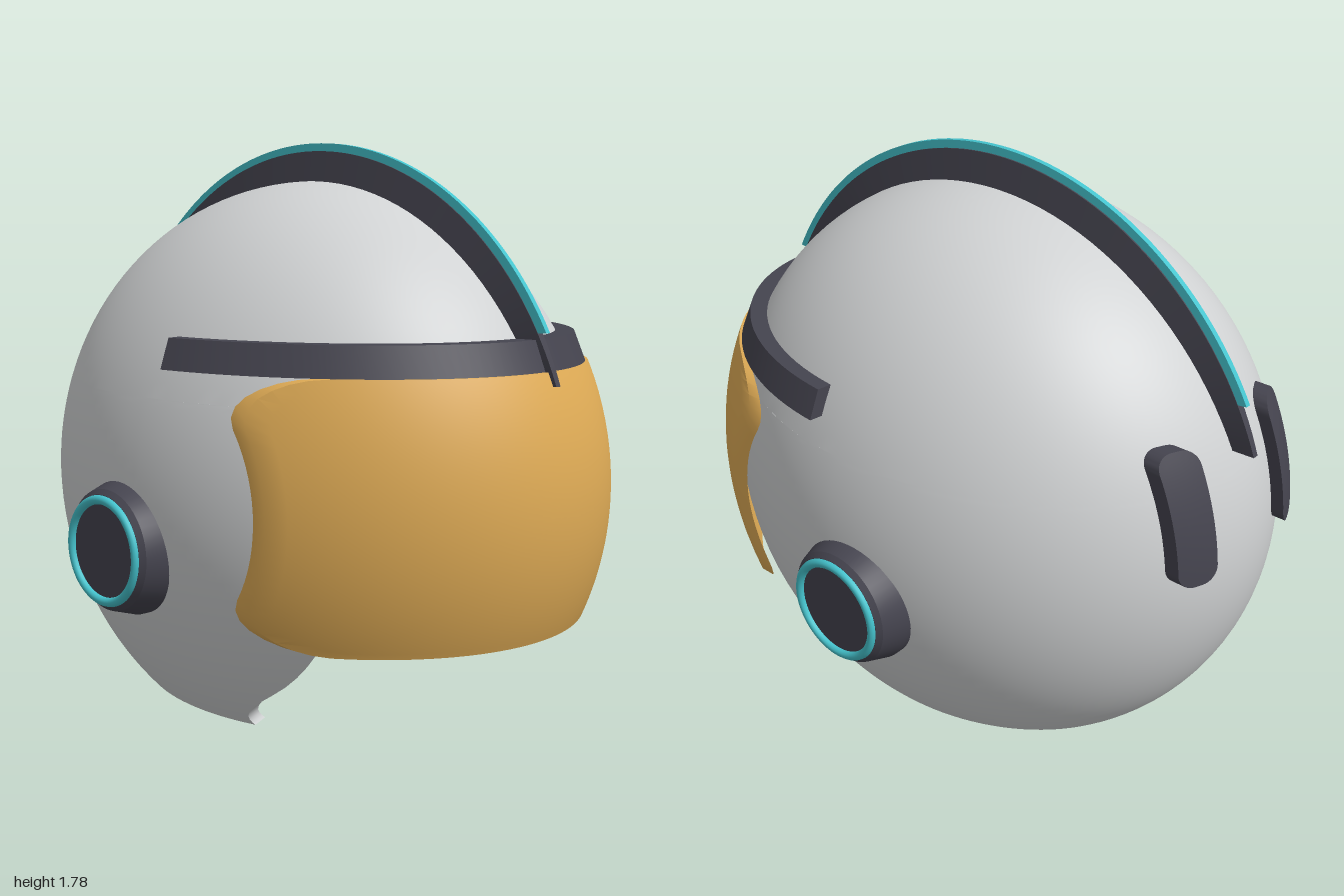
import * as THREE from 'three';
import { toCreasedNormals } from 'three/addons/utils/BufferGeometryUtils.js';

const CY = 0.71, CZ = -0.025; // centre of the head ellipsoid
const V = (x, y, z) => new THREE.Vector3(x, y, z);
const mat = (name, color) => Object.assign(new THREE.MeshStandardMaterial({ color }), { name });

// Skin a list of closed point loops
function skin(rows, crease = 0.6) {
  const pos = [], index = [], n = rows[0].length;
  rows.forEach(r => r.forEach(p => pos.push(p.x, p.y, p.z)));
  for (let i = 0; i < rows.length - 1; i++) {
    for (let j = 0; j < n; j++) {
      const a = i * n + j, b = i * n + (j + 1) % n;
      index.push(a, b, b + n, a, b + n, a + n);
    }
  }
  const g = new THREE.BufferGeometry();
  g.setAttribute('position', new THREE.Float32BufferAttribute(pos, 3));
  g.setIndex(index);
  return toCreasedNormals(g, crease);
}

// Skin with both ends capped
function sweep(rows) {
  const cap = r => {
    const c = V(0, 0, 0);
    r.forEach(p => c.addScaledVector(p, 1 / r.length));
    return r.map(() => c);
  };
  return skin([cap(rows[0]), rows[0], ...rows, rows.at(-1), cap(rows.at(-1))]);
}

// Rounded rectangle projected forward onto an ellipsoid, with thickness
function curvedPanel(x0, x1, y0, y1, r, outer, inner, rings) {
  const s = new THREE.Shape();
  s.absarc(x1 - r, y1 - r, r, 0, Math.PI / 2);
  s.absarc(x0 + r, y1 - r, r, Math.PI / 2, Math.PI);
  s.absarc(x0 + r, y0 + r, r, Math.PI, Math.PI * 1.5);
  s.absarc(x1 - r, y0 + r, r, Math.PI * 1.5, Math.PI * 2);
  s.closePath();
  const outline = s.getSpacedPoints(128).slice(0, -1);
  const mx = (x0 + x1) / 2, my = (y0 + y1) / 2;
  const ring = (k, e) => outline.map(p => {
    const x = mx + (p.x - mx) * k, y = my + (p.y - my) * k;
    const q = 1 - (x / e[0]) ** 2 - ((y - CY) / e[1]) ** 2;
    return V(x, y, e[2] * Math.sqrt(Math.max(0, q)));
  });
  const rows = [];
  for (let i = 0; i <= rings; i++) rows.push(ring(i / rings, inner));
  for (let i = rings; i >= 0; i--) rows.push(ring(i / rings, outer));
  return skin(rows);
}

// Hollow shell with a rounded face opening that runs out through the bottom
function shellGeometry() {
  const outer = [0.77, 0.95, 0.97], inner = [0.72, 0.90, 0.92];
  const top = 1.02, r = 0.2, half = 0.55, low = -0.05;
  const levels = [];
  for (let i = 0; i <= 32; i++) {
    const y = top * (1 - Math.cos(Math.PI * i / 32)) / 2;
    const d = Math.max(0, low + r - y, y - (top - r));
    levels.push([y, half - r + Math.sqrt(Math.max(0, r * r - d * d))]);
  }
  const p0 = Math.asin((top - CY) / outer[1]);
  for (let i = 0; i <= 24; i++) {
    levels.push([CY + outer[1] * Math.sin(p0 + (Math.PI / 2 - p0) * i / 24), 0]);
  }
  const N = 28;
  const arc = (y, open, e) => {
    const f = Math.sqrt(Math.max(0, 1 - ((y - CY) / outer[1]) ** 2));
    const a = open ? Math.asin(Math.min(1, open / (outer[0] * f))) : 0;
    const yy = y * (CY + e[1]) / (CY + outer[1]);
    const g = Math.sqrt(Math.max(0, 1 - ((yy - CY) / e[1]) ** 2));
    const angles = [];
    for (let i = 0; i < N; i++) angles.push(a + (Math.PI / 2 - a) * i / N);
    for (let i = 0; i <= 2 * N; i++) angles.push(Math.PI / 2 + Math.PI * i / (2 * N));
    for (let i = N - 1; i >= 0; i--) angles.push(2 * Math.PI - angles[i]);
    return angles.map(t => V(e[0] * g * Math.sin(t), yy, e[2] * g * Math.cos(t)));
  };
  const rows = levels.map(([y, o]) => [...arc(y, o, outer), ...arc(y, o, inner).reverse()]);
  // Bottom rim joins the two skins
  const o = arc(0, levels[0][1], outer), n = arc(0, levels[0][1], inner);
  rows.unshift([...n, ...n.slice().reverse()]);
  return skin(rows, 0.5);
}

// Fin over the crown, swept from front to back
function finGeometry(inR, outR, inStart, outStart, inWidth, outWidth) {
  const rows = [];
  for (let i = 0; i <= 72; i++) {
    const k = i / 36 - 1;
    const at = (x, [ry, rz], start) => {
      const u = Math.PI / 2 + k * (Math.PI / 2 - start);
      return V(x, CY + ry * Math.sin(u), rz * Math.cos(u));
    };
    const wi = inWidth(k), wo = outWidth(k);
    rows.push([at(-wo, outR, outStart), at(wo, outR, outStart), at(wi, inR, inStart), at(-wi, inR, inStart)]);
  }
  return sweep(rows);
}

// Brow strip wrapped around the forehead
function browGeometry() {
  const section = [[0.705, 0.895, 1.2], [0.74, 0.93, 1.11], [0.67, 0.85, 1.11], [0.645, 0.82, 1.2]];
  const rows = [];
  for (let i = 0; i <= 64; i++) {
    const t = 1.468 * (i / 32 - 1);
    rows.push(section.map(([rx, rz, y]) => V(rx * Math.sin(t), y, rz * Math.cos(t))));
  }
  return sweep(rows);
}

export function createModel() {
  const model = new THREE.Group();
  model.name = 'helmet';
  const grey = mat('shellGrey', 0xd0d2d3);
  const gold = mat('visorGold', 0xe0ac56);
  const dark = mat('trimCharcoal', 0x45444f);
  const cyan = mat('accentCyan', 0x45c4ce);
  const add = (name, geometry, material, parent = model) => {
    const m = new THREE.Mesh(geometry, material);
    m.name = name;
    if (parent === model) m.position.z = CZ;
    parent.add(m);
    return m;
  };

  add('shell', shellGeometry(), grey);
  add('visor', curvedPanel(-0.71, 0.71, 0.325, 1.11, 0.15,
    [0.815, 1.0, 1.025], [0.797, 0.982, 1.007], 24), gold);
  add('browStrip', browGeometry(), dark);

  // Crown fin and its bright edge
  add('crownFin', finGeometry([0.93, 0.95], [1.045, 1.03], 0.397, 0.352,
    k => 0.014 + 0.026 * (1 - k ** 4), k => 0.010 + 0.006 * (1 - k ** 4)), dark);
  add('finEdge', finGeometry([1.035, 1.02], [1.07, 1.055], 0.513, 0.497,
    () => 0.012, () => 0.009), cyan);

  for (const side of [1, -1]) {
    const label = side > 0 ? 'left' : 'right';

    // Rear pads, turned to face backwards
    const x0 = side > 0 ? -0.305 : 0.18;
    add(label + 'RearPad', curvedPanel(x0, x0 + 0.125, 0.75, 1.15, 0.05,
      [0.81, 0.99, 1.01], [0.75, 0.93, 0.95], 8), dark).rotation.y = Math.PI;

    // Ear cup with a ring
    const ear = new THREE.Group();
    ear.name = label + 'Ear';
    ear.position.set(0, 0.56, -0.095);
    ear.rotation.z = -side * Math.PI / 2;
    const profile = [[0.21, 0.66], [0.21, 0.74], [0.185, 0.815], [0.17, 0.83], [0, 0.83]]
      .map(p => new THREE.Vector2(...p));
    add('earCup', toCreasedNormals(new THREE.LatheGeometry(profile, 48), 0.4), dark, ear);
    const ring = add('earRing', new THREE.TorusGeometry(0.155, 0.014, 12, 64), cyan, ear);
    ring.rotation.x = Math.PI / 2;
    ring.position.y = 0.831;
    model.add(ear);
  }
  return model;
}
